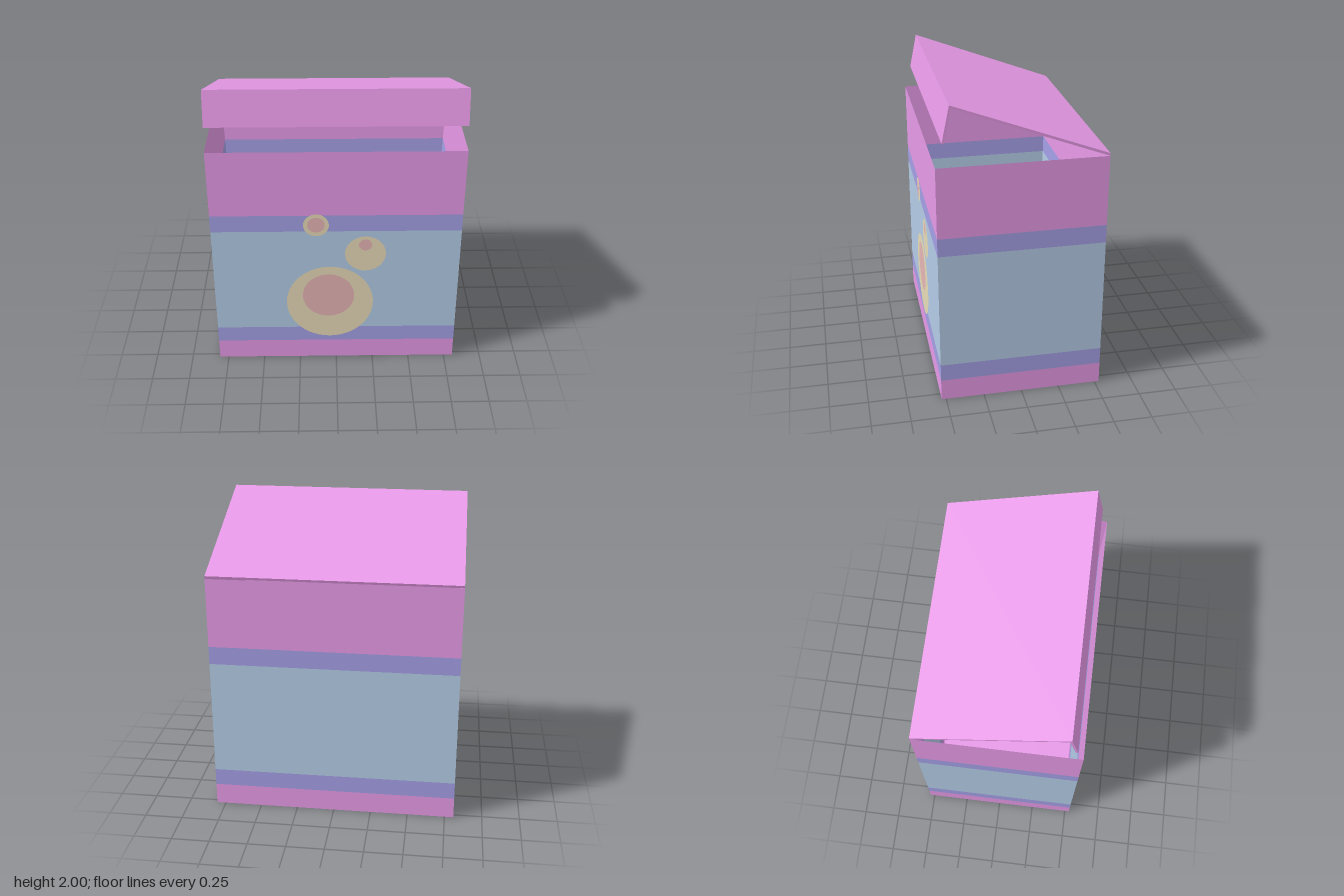
import * as THREE from 'three';

const W = 0.81, D = 0.53, H = 1.62;

const material = (name, color) => {
  const m = new THREE.MeshStandardMaterial({ color });
  m.name = name;
  return m;
};

// Four flat walls between two heights; inset(y) narrows the ring, inward flips the faces
function wallBand(y0, y1, inset, inward) {
  const corners = [[1, 1], [1, -1], [-1, -1], [-1, 1]];
  const at = ([sx, sz], y) => [sx * (W - inset(y)), y, sz * (D - inset(y))];
  const pos = [];
  corners.forEach((a, i) => {
    const b = corners[(i + 1) % 4];
    const quad = [at(a, y0), at(b, y0), at(b, y1), at(a, y1)];
    const order = inward ? [0, 2, 1, 0, 3, 2] : [0, 1, 2, 0, 2, 3];
    order.forEach((k) => pos.push(...quad[k]));
  });
  const g = new THREE.BufferGeometry();
  g.setAttribute('position', new THREE.Float32BufferAttribute(pos, 3));
  g.computeVertexNormals();
  return g;
}

export function createModel() {
  const model = new THREE.Group();
  model.name = 'openBox';
  const pink = material('pink', 0xffaaff);
  const violet = material('violet', 0xb6b1ff);
  const blue = material('paleBlue', 0xc7e2ff);
  const cream = material('cream', 0xfff2cb);
  const rose = material('rose', 0xffc9c9);

  const add = (name, geometry, mat, parent = model) => {
    const mesh = new THREE.Mesh(geometry, mat);
    mesh.name = name;
    parent.add(mesh);
    return mesh;
  };

  // Striped walls, outside and inside; the inside tapers from a sharp rim to the floor
  const floorY = 0.03;
  const taper = (y) => 0.045 * (H - y) / (H - floorY);
  const bands = [
    ['bottomBand', 0, 0.145, pink],
    ['lowerStripe', 0.145, 0.26, violet],
    ['middleBand', 0.26, 1.04, blue],
    ['upperStripe', 1.04, 1.16, violet],
    ['topBand', 1.16, H, pink],
  ];
  for (const [name, y0, y1, mat] of bands) {
    add(name, wallBand(y0, y1, () => 0, false), mat);
    add(name + 'Inside', wallBand(Math.max(y0, floorY), y1, taper, true), mat);
  }

  // Underside and inner floor
  const base = add('base', new THREE.PlaneGeometry(2 * W, 2 * D), pink);
  base.rotation.x = Math.PI / 2;
  const inset = taper(floorY);
  const floor = add('floor', new THREE.PlaneGeometry(2 * (W - inset), 2 * (D - inset)), pink);
  floor.rotation.x = -Math.PI / 2;
  floor.position.y = floorY;

  // Raised lid with its front flap: a bent strip profile (z, y) run across the width
  const profile = new THREE.Shape([
    [-0.53, 1.638], [0.44, 2.0], [0.488, 1.77],
    [0.473, 1.767], [0.429, 1.98], [-0.525, 1.622],
  ].map(([z, y]) => new THREE.Vector2(z, y)));
  const lid = new THREE.ExtrudeGeometry(profile, { depth: 2 * W, bevelEnabled: false });
  lid.translate(0, 0, -W).rotateY(-Math.PI / 2);
  add('lid', lid, pink);

  // Ringed spots painted on the front: x, y, radius, then the same for the centre
  const spots = new THREE.Group();
  spots.name = 'frontSpots';
  model.add(spots);
  const disc = (name, x, y, r, z, mat) =>
    add(name, new THREE.CircleGeometry(r, 48), mat, spots).position.set(x, y, z);
  [
    [-0.043, 0.473, 0.29, -0.052, 0.53, 0.172],
    [0.19, 0.865, 0.134, 0.19, 0.935, 0.043],
    [-0.131, 1.088, 0.083, -0.131, 1.09, 0.056],
  ].forEach(([x, y, r, cx, cy, cr]) => {
    disc('spot', x, y, r, D + 0.002, cream);
    disc('spotCentre', cx, cy, cr, D + 0.004, rose);
  });

  return model;
}
